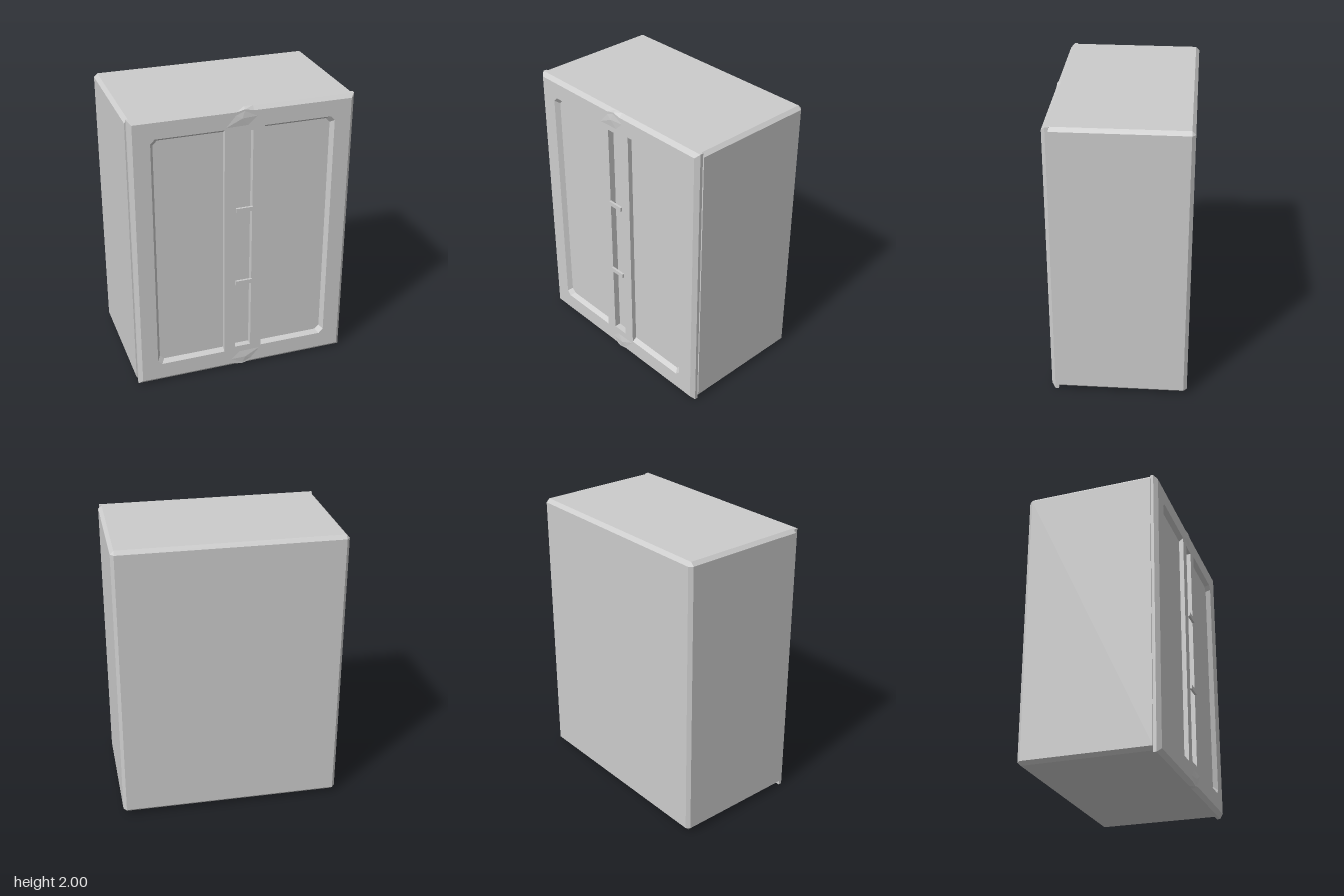
import * as THREE from 'three';
import { ConvexGeometry } from 'three/addons/geometries/ConvexGeometry.js';

const BACK = -0.48, JOIN = 0.42, FRONT = 0.467, PANEL = 0.435;

// Joins counter-clockwise outlines [{ pts, z }] with flat faces, optionally capping both ends.
function loft(loops, startCap, endCap) {
  const pos = [];
  const put = (loop, i) => {
    const p = loop.pts[i % loop.pts.length];
    pos.push(p[0], p[1], loop.z);
  };
  for (let k = 0; k < loops.length - 1; k++) {
    const a = loops[k], b = loops[k + 1];
    for (let i = 0; i < a.pts.length; i++) {
      put(a, i); put(a, i + 1); put(b, i + 1);
      put(a, i); put(b, i + 1); put(b, i);
    }
  }
  const last = loops[loops.length - 1];
  for (let i = 1; i < last.pts.length - 1; i++) {
    if (startCap) { put(loops[0], 0); put(loops[0], i + 1); put(loops[0], i); }
    if (endCap) { put(last, 0); put(last, i); put(last, i + 1); }
  }
  const geo = new THREE.BufferGeometry();
  geo.setAttribute('position', new THREE.Float32BufferAttribute(pos, 3));
  geo.computeVertexNormals();
  return geo;
}

// Rectangle with corners cut by cx and cy.
const cutRect = (x, y0, y1, cx, cy) => [
  [-x + cx, y0], [x - cx, y0], [x, y0 + cy], [x, y1 - cy],
  [x - cx, y1], [-x + cx, y1], [-x, y1 - cy], [-x, y0 + cy],
];

// Door outline with extra points along the middle of the top and bottom edges.
const doorOutline = (x, y0, y1, peak) => [
  [-x, y0], [-0.06, y0], [0, y0 - peak], [0.06, y0], [x, y0],
  [x, y1], [0.06, y1], [0, y1 + peak], [-0.06, y1], [-x, y1],
];

// Panel outline, square beside the centre stile and cut at the outer corners.
function panelOutline(side, inset) {
  const x0 = 0.137, x1 = 0.628 - inset, y0 = 0.145 + inset, y1 = 1.862 - inset, c = 0.03;
  const pts = [[x0, y0], [x1 - c, y0], [x1, y0 + c], [x1, y1 - c], [x1 - c, y1], [x0, y1]];
  return side > 0 ? pts : pts.map(([x, y]) => [-x, y]).reverse();
}

export function createModel() {
  const group = new THREE.Group();
  const grey = new THREE.MeshStandardMaterial({ color: 0xcccccc });
  grey.name = 'cabinet grey';
  const add = (name, geo) => {
    const mesh = new THREE.Mesh(geo, grey);
    mesh.name = name;
    group.add(mesh);
    return mesh;
  };

  // Cabinet body, chamfered along its sides and back
  add('cabinetBody', loft([
    { pts: cutRect(0.755, 0.04, 1.975, 0, 0), z: BACK },
    { pts: cutRect(0.777, 0.016, 2, 0.024, 0.024), z: BACK + 0.024 },
    { pts: cutRect(0.777, 0.016, 2, 0.024, 0.024), z: JOIN },
  ], true, true));

  // Door edge with its front bevel
  const face = doorOutline(0.742, 0.028, 1.974, 0.014);
  add('doorEdge', loft([
    { pts: doorOutline(0.768, 0, 2, 0), z: JOIN - 0.003 },
    { pts: doorOutline(0.768, 0, 2, 0), z: 0.441 },
    { pts: face, z: FRONT },
  ], true, false));

  // Door face with openings for the two panels and the centre groove
  const groove = [[-0.058, 0.17], [0.058, 0.17], [0.058, 1.84], [-0.058, 1.84]];
  const toPoints = (pts) => pts.map(([x, y]) => new THREE.Vector2(x, y));
  const shape = new THREE.Shape(toPoints(face));
  for (const hole of [panelOutline(1, 0), panelOutline(-1, 0), groove]) {
    shape.holes.push(new THREE.Path(toPoints(hole)));
  }
  add('doorFace', new THREE.ShapeGeometry(shape).translate(0, 0, FRONT));

  // Recessed panels with sloping borders
  for (const side of [1, -1]) {
    add(side > 0 ? 'leftPanel' : 'rightPanel', loft([
      { pts: panelOutline(side, 0), z: FRONT },
      { pts: panelOutline(side, 0.022), z: PANEL },
    ], false, true));
  }

  // Centre groove and the two short handles across it
  add('centreGroove', loft([{ pts: groove, z: FRONT }, { pts: groove, z: JOIN + 0.003 }], false, true));
  for (const y of [0.71, 1.275]) {
    add('handle', new THREE.BoxGeometry(0.118, 0.03, 0.016)).position.set(0, y, 0.472);
  }

  // Shallow faceted folds at the middle of the top and bottom rails
  const fold = [
    [-0.148, 1.866, 0], [-0.07, 1.955, 0], [0, 1.986, 0], [0.1, 1.935, 0],
    [0.03, 1.87, 0], [-0.02, 1.93, 0.007],
  ].map((p) => new THREE.Vector3(...p));
  for (const turn of [0, Math.PI]) {
    const mesh = add(turn ? 'bottomFold' : 'topFold', new ConvexGeometry(fold).translate(0, -1, FRONT - 0.001));
    mesh.position.y = 1;
    mesh.rotation.z = turn;
  }
  return group;
}
